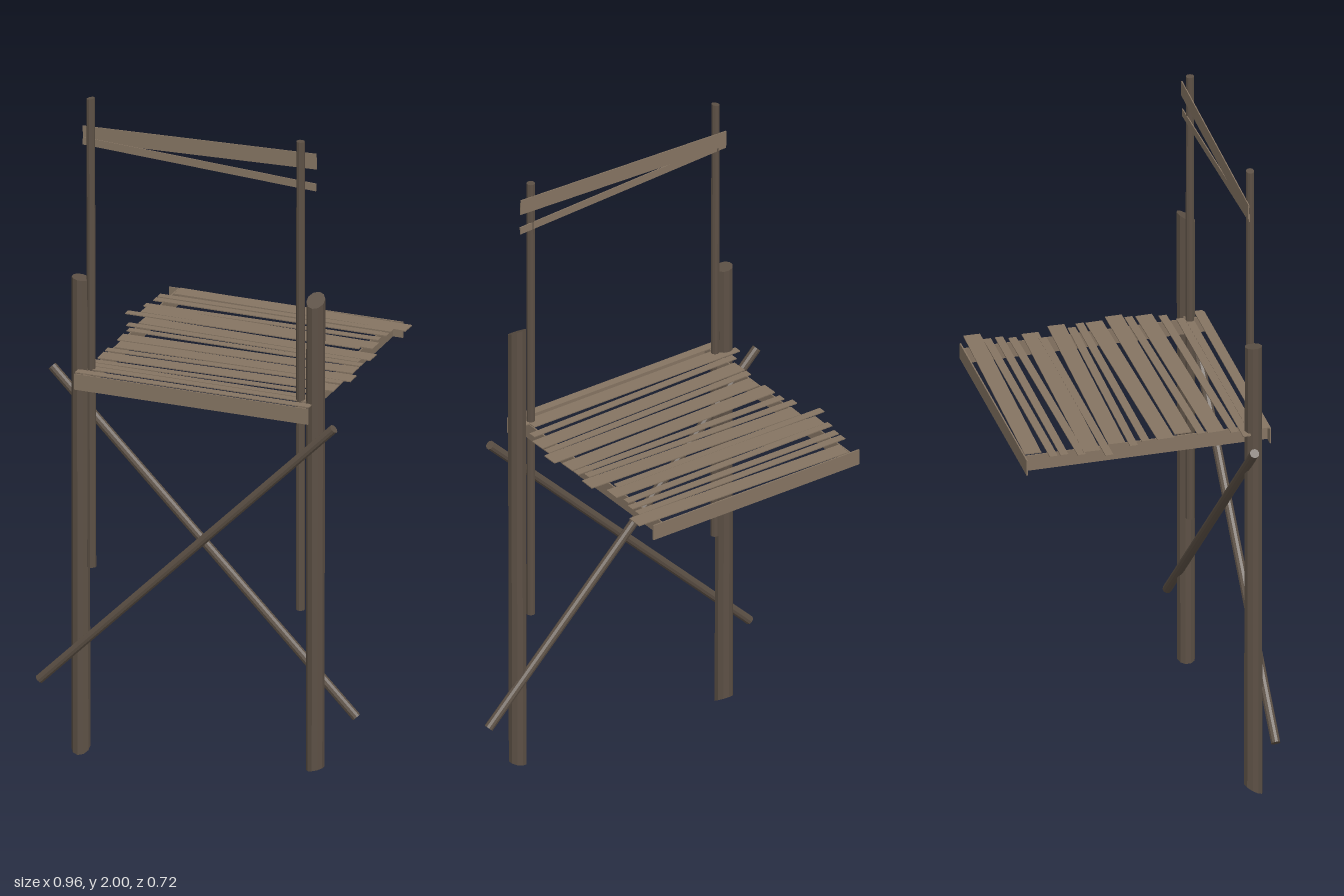
import * as THREE from 'three';

const lightWood = new THREE.MeshStandardMaterial({ color: 0x857462 });
lightWood.name = 'lightWood';
const darkWood = new THREE.MeshStandardMaterial({ color: 0x5c5045, flatShading: true });
darkWood.name = 'darkWood';

// Round pole between two points; cutA and cutB are [dx, dz] slopes of the sawn ends
function pole(name, a, b, rA, rB, cutA = [0, 0], cutB = [0, 0]) {
  const start = new THREE.Vector3(...a), end = new THREE.Vector3(...b);
  const dir = end.clone().sub(start), len = dir.length();
  const geo = new THREE.CylinderGeometry(rB, rA, len, 10, 1);
  const p = geo.attributes.position;
  for (let i = 0; i < p.count; i++) {
    const cut = p.getY(i) < 0 ? cutA : cutB;
    p.setY(i, p.getY(i) + cut[0] * p.getX(i) + cut[1] * p.getZ(i));
  }
  geo.computeVertexNormals();
  const mesh = new THREE.Mesh(geo, darkWood);
  mesh.name = name;
  mesh.position.copy(start).add(end).multiplyScalar(0.5);
  mesh.quaternion.setFromUnitVectors(new THREE.Vector3(0, 1, 0), dir.normalize());
  return mesh;
}

function board(name, w, h, d, x, y, z) {
  const mesh = new THREE.Mesh(new THREE.BoxGeometry(w, h, d), lightWood);
  mesh.name = name;
  mesh.position.set(x, y, z);
  return mesh;
}

export function createModel() {
  const model = new THREE.Group();
  model.name = 'chair';

  // Thick posts with slanted sawn ends
  model.add(
    pole('rightPost', [-0.362, 0.017, 0.304], [-0.364, 1.445, 0.304], 0.027, 0.025, [0, -0.6], [-0.15, 0]),
    pole('leftPost', [0.352, 0.058, 0.304], [0.354, 1.483, 0.304], 0.026, 0.027, [0.25, 0], [0, -0.6]));

  // Thin back poles
  model.add(
    pole('rightBackPole', [-0.33, 0.57, 0.303], [-0.333, 1.995, 0.303], 0.013, 0.012, [0, 0], [0.2, 0]),
    pole('leftBackPole', [0.307, 0.535, 0.303], [0.307, 1.96, 0.303], 0.013, 0.012));

  // Crossed braces, one on each side of the posts
  model.add(
    pole('frontBrace', [-0.475, 0.218, 0.339], [0.423, 1.115, 0.339], 0.0135, 0.0135),
    pole('backBrace', [0.469, 0.222, 0.281], [-0.46, 1.153, 0.281], 0.0135, 0.0135));

  // Seat frame
  model.add(
    board('frontRail', 0.713, 0.048, 0.004, -0.005, 1.147, 0.355),
    board('backRail', 0.713, 0.048, 0.004, -0.005, 1.147, -0.358),
    board('rightRail', 0.004, 0.048, 0.711, -0.332, 1.147, -0.001),
    board('leftRail', 0.004, 0.048, 0.711, 0.32, 1.147, -0.001));

  // Seat slats: [centre x, z at right end, z at left end, width]
  const slats = [
    [0.03, -0.332, -0.315, 0.049], [-0.005, -0.28, -0.28, 0.023],
    [-0.005, -0.249, -0.245, 0.023], [-0.016, -0.201, -0.209, 0.023],
    [-0.005, -0.168, -0.154, 0.049], [-0.041, -0.127, -0.127, 0.023],
    [0.021, -0.088, -0.071, 0.049], [-0.005, -0.045, -0.032, 0.023],
    [0.012, -0.006, -0.004, 0.023], [0.012, 0.053, 0.038, 0.049],
    [0.03, 0.108, 0.1, 0.049], [0.012, 0.157, 0.139, 0.023],
    [0.012, 0.201, 0.184, 0.049], [-0.005, 0.251, 0.235, 0.023],
    [-0.036, 0.278, 0.278, 0.023], [-0.005, 0.302, 0.302, 0.023],
    [-0.005, 0.339, 0.339, 0.025],
  ];
  const seat = new THREE.Group();
  seat.name = 'seatSlats';
  slats.forEach(([x, zR, zL, w], i) => {
    const slat = board('seatSlat', 0.713, 0.003, w, x, 1.1725 + (i % 3) * 0.0006, (zR + zL) / 2);
    slat.rotation.y = -Math.atan2(zL - zR, 0.713);
    seat.add(slat);
  });
  model.add(seat);

  // Backrest slats: [y at right end, y at left end, width, z]
  for (const [yR, yL, w, z] of [[1.879, 1.9, 0.047, 0.291], [1.858, 1.822, 0.023, 0.293]]) {
    const slat = board('backSlat', 0.713, w, 0.003, -0.005, (yR + yL) / 2, z);
    slat.rotation.z = Math.atan2(yL - yR, 0.713);
    model.add(slat);
  }
  return model;
}
